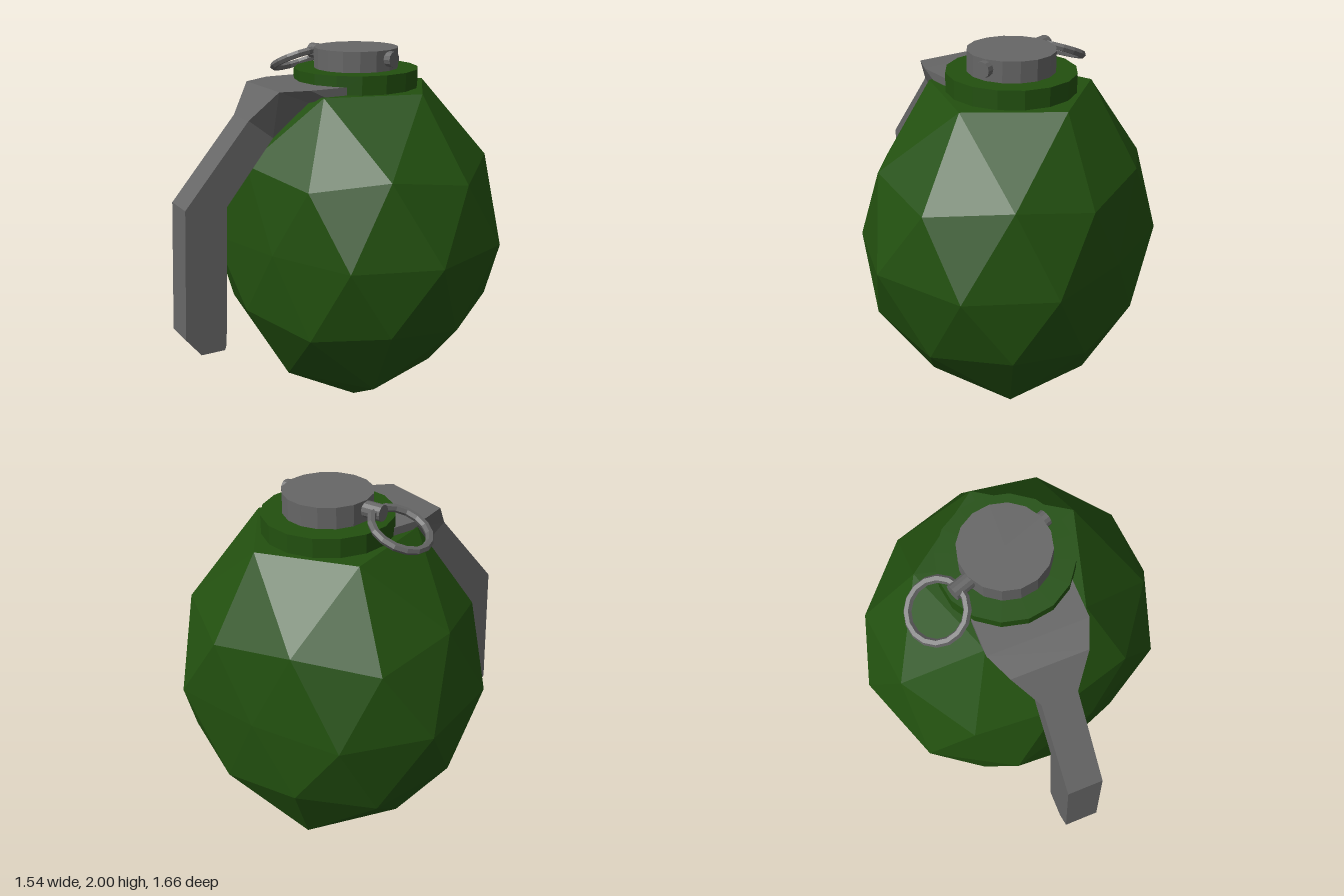
import * as THREE from 'three';

const AXIS_Z = -0.18;   // vertical axis of the body
const MID_Y = 1.02;     // height of the widest ring

function mat(color) {
  return new THREE.MeshStandardMaterial({ color, flatShading: true });
}

function mesh(name, geometry, material, x = 0, y = 0, z = 0) {
  const m = new THREE.Mesh(geometry, material);
  m.name = name;
  m.position.set(x, y, z);
  return m;
}

function indexed(points, faces) {
  const g = new THREE.BufferGeometry();
  g.setAttribute('position', new THREE.Float32BufferAttribute(points.flat(), 3));
  g.setIndex(faces);
  const flat = g.toNonIndexed();
  flat.computeVertexNormals();
  return flat;
}

// Lower half of a faceted ball: a pole, a ring of 5 and two rings of 10
function halfBall(poleY) {
  const pts = [];
  const add = (r, deg, y) => {
    const a = THREE.MathUtils.degToRad(deg);
    const z = r * Math.sin(a);
    // front and back are pressed flatter than the sides
    pts.push([r * Math.cos(a), y, z * (1 - 0.51 * Math.abs(z) ** 4.5)]);
  };
  add(0, 0, poleY);
  for (let k = 0; k < 5; k++) add(0.43, 180 + 72 * k, -0.78);
  for (let j = 0; j < 10; j++) {
    if (j % 2) add(0.689, 180 + 36 * j, -0.425);
    else add(0.724, 180 + 36 * j, -0.362);
  }
  for (let j = 0; j < 10; j++) add(0.81, 198 + 36 * j, 0);

  const A = k => 1 + (k % 5);
  const B = j => 6 + ((j + 10) % 10);
  const E = j => 16 + ((j + 10) % 10);
  const f = [];
  for (let k = 0; k < 5; k++) {
    f.push(0, A(k), A(k + 1));
    f.push(A(k), B(2 * k - 1), B(2 * k));
    f.push(A(k), B(2 * k), B(2 * k + 1));
    f.push(A(k), B(2 * k + 1), A(k + 1));
  }
  for (let j = 0; j < 10; j++) {
    f.push(B(j), E(j), B(j + 1));
    f.push(B(j), E(j - 1), E(j));
  }
  return indexed(pts, f);
}

// Bent bar lofted through four-cornered sections
function leverGeometry() {
  // half width, outer z, outer y, inner z, inner y
  const sections = [
    [0.25, 0.17, 1.84, 0.17, 1.795],
    [0.25, 0.40, 1.84, 0.30, 1.79],
    [0.19, 0.54, 1.835, 0.38, 1.77],
    [0.09, 0.66, 1.69, 0.53, 1.59],
    [0.09, 1.01, 1.28, 0.79, 1.27],
    [0.09, 1.04, 0.60, 0.82, 0.53],
    [0.09, 0.96, 0.50, 0.83, 0.50],
  ];
  const pts = [];
  for (const [w, zo, yo, zi, yi] of sections) {
    pts.push([-w, yo, zo], [w, yo, zo], [w, yi, zi], [-w, yi, zi]);
  }
  const f = [0, 1, 2, 0, 2, 3];
  for (let i = 0; i < sections.length - 1; i++) {
    for (let c = 0; c < 4; c++) {
      const a = 4 * i + c, b = 4 * i + ((c + 1) % 4);
      f.push(a, a + 4, b + 4, a, b + 4, b);
    }
  }
  const e = 4 * (sections.length - 1);
  f.push(e, e + 2, e + 1, e, e + 3, e + 2);
  return indexed(pts, f);
}

export function createModel() {
  const model = new THREE.Group();
  model.name = 'grenade';
  const green = mat(0x22500f);
  const grey = mat(0x666666);

  // Body: pointed below, cut flat on top
  const body = new THREE.Group();
  body.name = 'body';
  body.position.set(0, MID_Y, AXIS_Z);
  const upper = mesh('bodyUpper', halfBall(-0.78), green);
  upper.rotation.z = Math.PI;
  body.add(mesh('bodyLower', halfBall(-1.02), green), upper);
  model.add(body);

  // Collar and fuse cap
  const disc = (r, h) => new THREE.CylinderGeometry(r, r, h, 16);
  model.add(mesh('collar', disc(0.325, 0.095), green, 0, 1.8475, AXIS_Z));
  model.add(mesh('fuseCap', disc(0.22, 0.11), grey, 0, 1.945, AXIS_Z));

  // Pin through the cap, with its pull ring
  const pin = new THREE.CylinderGeometry(0.04, 0.04, 0.56, 12).rotateZ(Math.PI / 2);
  model.add(mesh('pin', pin, grey, -0.03, 1.955, AXIS_Z));
  const ringGeo = new THREE.TorusGeometry(0.145, 0.02, 6, 16).rotateX(Math.PI / 2);
  const ring = mesh('pullRing', ringGeo, grey, -0.405, 1.903, AXIS_Z);
  ring.rotation.z = 0.42;
  model.add(ring);

  // Safety lever, swung to one side
  const lever = mesh('lever', leverGeometry(), grey, 0, 0, AXIS_Z);
  lever.rotation.y = -0.35;
  model.add(lever);

  return model;
}
